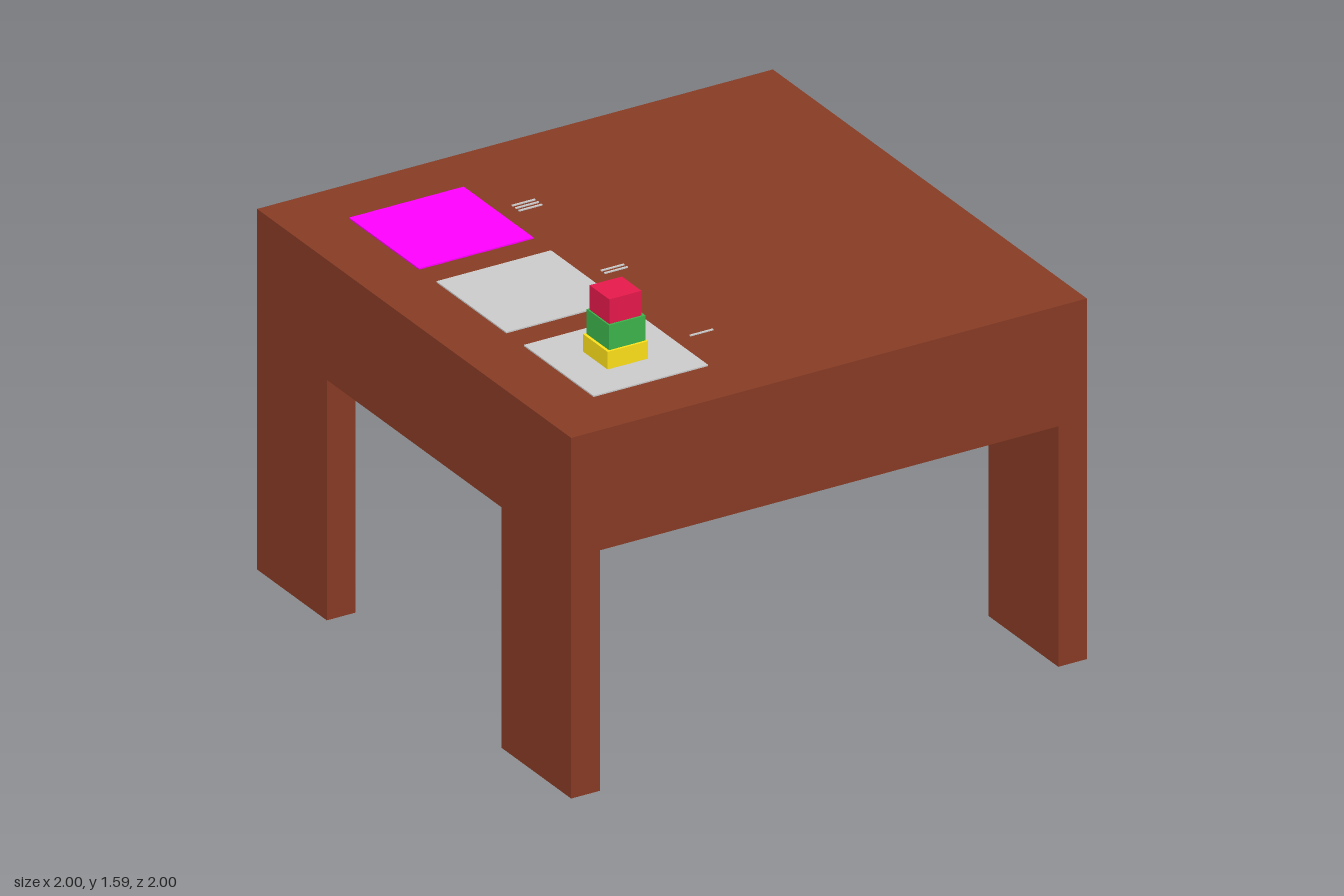
import * as THREE from 'three';

const BROWN = 0x873b24, GREY = 0xcccccc, MAGENTA = 0xff00ff;
const TOP = 1.333, UNDERSIDE = 0.889, MAT = 0.005;

export function createModel() {
  const model = new THREE.Group();
  model.name = 'tableWithBlocks';

  const materials = new Map();
  const material = (color) => {
    if (!materials.has(color)) materials.set(color, new THREE.MeshStandardMaterial({ color }));
    return materials.get(color);
  };

  // Box standing on height y, centred on x and z
  const box = (name, color, [w, h, d], [x, y, z], parent = model) => {
    const mesh = new THREE.Mesh(new THREE.BoxGeometry(w, h, d), material(color));
    mesh.name = name;
    mesh.position.set(x, y + h / 2, z);
    parent.add(mesh);
  };

  // Thick solid top
  box('tableTop', BROWN, [2, TOP - UNDERSIDE, 2], [0, UNDERSIDE, 0]);

  // Plank legs flush with the corners
  const legW = 0.111, legD = 0.444;
  for (const [zName, sz] of [['front', 1], ['back', -1]])
    for (const [xName, sx] of [['Left', 1], ['Right', -1]])
      box(`${zName}${xName}Leg`, BROWN, [legW, UNDERSIDE, legD],
        [sx * (1 - legW / 2), 0, sz * (1 - legD / 2)]);

  // Three square mats, each with one, two or three counting bars beside it
  const matX = -0.556, matSize = 0.444;
  [['frontMat', 0.556, GREY], ['middleMat', 0, GREY], ['backMat', -0.556, MAGENTA]]
    .forEach(([name, z, color], i) => {
      box(name, color, [matSize, MAT, matSize], [matX, TOP, z]);
      const marks = new THREE.Group();
      marks.name = `${name}CountingBars`;
      for (let k = 0; k <= i; k++)
        box('countingBar', GREY, [0.09, 0.004, 0.007],
          [-0.224, TOP, z + (k - i / 2) * 0.022], marks);
      model.add(marks);
    });

  // Tower of blocks that shrink upward
  const tower = new THREE.Group();
  tower.name = 'blockTower';
  [['bottomBlock', 0xffe119, 0.157, TOP + MAT, 1.403, -0.558, 0.557],
    ['middleBlock', 0x3cb44b, 0.142, 1.403, 1.495, -0.555, 0.556],
    ['topBlock', 0xe6194b, 0.125, 1.495, 1.586, -0.558, 0.557]]
    .forEach(([name, color, size, y0, y1, x, z]) =>
      box(name, color, [size, y1 - y0, size], [x, y0, z], tower));
  model.add(tower);

  return model;
}
